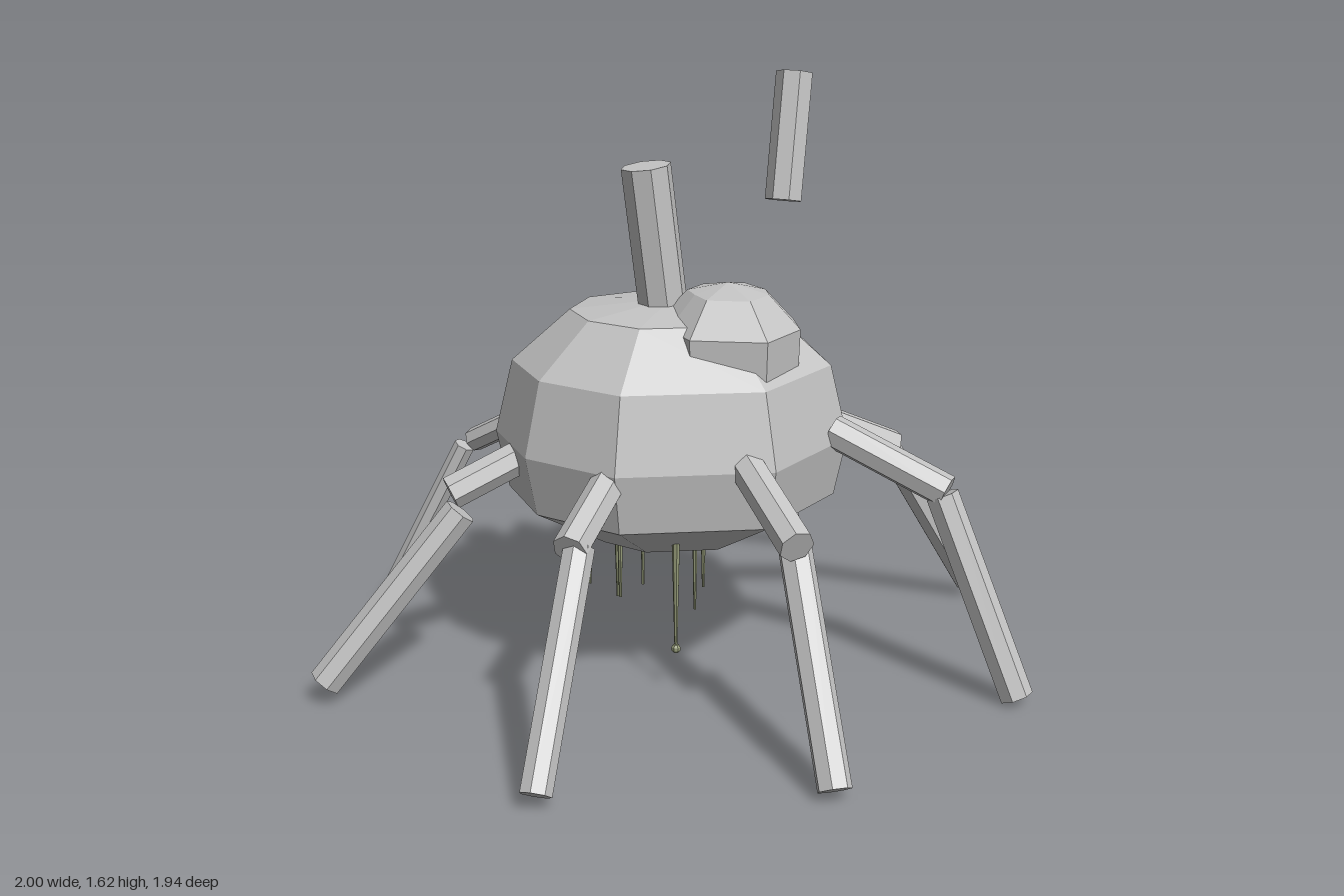
import * as THREE from 'three';

const grey = new THREE.MeshStandardMaterial({ color: 0xc4c4c4 });
grey.name = 'stoneGrey';
const red = new THREE.MeshStandardMaterial({ color: 0xc24a38 });
red.name = 'lumpRed';
const olive = new THREE.MeshStandardMaterial({ color: 0x949a78 });
olive.name = 'slimeOlive';

// Faceted look: every face keeps its own normal
function flat(geometry) {
  const g = geometry.index ? geometry.toNonIndexed() : geometry;
  g.computeVertexNormals();
  return g;
}

function addMesh(parent, name, geometry, material) {
  const mesh = new THREE.Mesh(flat(geometry), material);
  mesh.name = name;
  parent.add(mesh);
  return mesh;
}

// Tapered prism between two points
function rod(parent, name, from, to, r0, r1, sides, material) {
  const a = new THREE.Vector3(...from), b = new THREE.Vector3(...to);
  const dir = b.clone().sub(a);
  const mesh = addMesh(parent, name, new THREE.CylinderGeometry(r1, r0, dir.length(), sides), material);
  mesh.position.copy(a).add(b).multiplyScalar(0.5);
  mesh.quaternion.setFromUnitVectors(new THREE.Vector3(0, 1, 0), dir.normalize());
  return mesh;
}

// Closed lump from an irregular outline [degrees, radius] scaled at each [height, factor], top to bottom
function lump(outline, levels, topY, bottomY) {
  const n = outline.length, pos = [];
  const point = (level, i) => {
    const [deg, r] = outline[i % n], a = THREE.MathUtils.degToRad(deg);
    return [Math.sin(a) * r * level[1], level[0], Math.cos(a) * r * level[1]];
  };
  for (let i = 0; i < n; i++) {
    pos.push(0, topY, 0, ...point(levels[0], i), ...point(levels[0], i + 1));
    for (let k = 0; k < levels.length - 1; k++) {
      const a = point(levels[k], i), b = point(levels[k + 1], i);
      const c = point(levels[k + 1], i + 1), d = point(levels[k], i + 1);
      pos.push(...a, ...b, ...c, ...a, ...c, ...d);
    }
    const last = levels[levels.length - 1];
    pos.push(0, bottomY, 0, ...point(last, i + 1), ...point(last, i));
  }
  const g = new THREE.BufferGeometry();
  g.setAttribute('position', new THREE.Float32BufferAttribute(pos, 3));
  return g;
}

export function createModel() {
  const model = new THREE.Group();
  model.name = 'eightLeggedCreature';

  // Body and the smaller dome on top
  const bodyOutline = [[-137, 0.49], [-102, 0.48], [-67, 0.46], [-30, 0.45], [23, 0.465],
    [70, 0.48], [114, 0.51], [147, 0.47], [186, 0.46]];
  addMesh(model, 'body', lump(bodyOutline,
    [[1.0, 0.57], [0.86, 0.9], [0.66, 1], [0.5, 0.93], [0.38, 0.47]], 1.03, 0.35), grey);

  const domeOutline = [[-160, 0.22], [-115, 0.2], [-75, 0.18], [-38, 0.24], [10, 0.26],
    [55, 0.21], [95, 0.19], [145, 0.23]];
  const dome = addMesh(model, 'topDome', lump(domeOutline,
    [[1.065, 0.55], [0.98, 0.97], [0.875, 0.95]], 1.09, 0.85), grey);
  dome.position.set(0.13, 0, 0.11);

  // Upright stalk and the loose rod beside it
  rod(model, 'stalk', [-0.015, 0.95, 0], [-0.072, 1.39, 0.02], 0.067, 0.067, 8, grey);
  rod(model, 'looseRod', [0.29, 1.295, 0.065], [0.33, 1.625, 0.012], 0.05, 0.05, 7, grey);

  // Legs: hip, knee, shin top, foot, thigh radius, shin radius
  const legs = [
    ['frontLeftLeg', [0.11, 0.68, 0.36], [0.17, 0.55, 0.67], [0.185, 0.53, 0.59], [0.2, 0.035, 0.92], 0.046, 0.043],
    ['frontRightLeg', [-0.22, 0.64, 0.32], [-0.36, 0.53, 0.53], [-0.335, 0.53, 0.51], [-0.49, 0.045, 0.82], 0.046, 0.04],
    ['middleFrontLeftLeg', [0.4, 0.69, 0.19], [0.66, 0.56, 0.375], [0.65, 0.55, 0.365], [0.82, 0.03, 0.52], 0.046, 0.045],
    ['middleBackLeftLeg', [0.4, 0.67, -0.05], [0.67, 0.55, -0.09], [0.68, 0.52, -0.145], [0.97, 0.06, -0.235], 0.046, 0.037],
    ['backLeftLeg', [0.24, 0.68, -0.36], [0.305, 0.54, -0.64], [0.4, 0.5, -0.6], [0.575, 0.045, -0.79], 0.046, 0.039],
    ['backRightLeg', [-0.085, 0.68, -0.4], [-0.165, 0.54, -0.63], [-0.15, 0.52, -0.72], [-0.115, 0.04, -0.95], 0.046, 0.038],
    ['middleBackRightLeg', [-0.33, 0.66, -0.28], [-0.5, 0.53, -0.46], [-0.53, 0.52, -0.445], [-0.76, 0.04, -0.54], 0.036, 0.031],
    ['middleFrontRightLeg', [-0.38, 0.64, 0.03], [-0.61, 0.54, 0.06], [-0.59, 0.51, 0.125], [-0.96, 0.065, 0.14], 0.046, 0.045],
  ];
  for (const [name, hip, knee, shinTop, foot, thighR, shinR] of legs) {
    const leg = new THREE.Group();
    leg.name = name;
    rod(leg, 'thigh', hip, knee, thighR, thighR, 7, grey);
    rod(leg, 'shin', shinTop, foot, shinR, shinR, 7, grey);
    model.add(leg);
  }

  // Red growth on the back with a pale bump next to it
  const growth = addMesh(model, 'redGrowth', new THREE.SphereGeometry(1, 9, 6), red);
  growth.scale.set(0.115, 0.125, 0.095);
  growth.position.set(0.11, 0.74, -0.445);
  const bump = addMesh(model, 'paleBump', new THREE.SphereGeometry(1, 8, 5), grey);
  bump.scale.set(0.065, 0.05, 0.05);
  bump.position.set(0.04, 0.77, -0.4);

  // Hanging drips: x, z, top, bottom, top radius
  const drips = [
    [-0.04, 0.255, 0.47, 0.13, 0.012], [-0.155, 0.06, 0.5, 0.21, 0.01],
    [0.1, -0.145, 0.5, 0.07, 0.011], [-0.03, -0.27, 0.935, 0.11, 0.014],
    [-0.17, -0.385, 0.55, 0.08, 0.013], [-0.085, -0.39, 0.58, 0.03, 0.018],
    [0.185, -0.41, 0.88, 0.03, 0.024],
  ];
  for (const [x, z, top, bottom, r] of drips) {
    rod(model, 'drip', [x, top, z], [x, bottom, z], r, 0.004, 7, olive);
  }
  const bead = addMesh(model, 'dripBead', new THREE.SphereGeometry(0.013, 7, 5), olive);
  bead.position.set(-0.04, 0.13, 0.255);

  return model;
}
